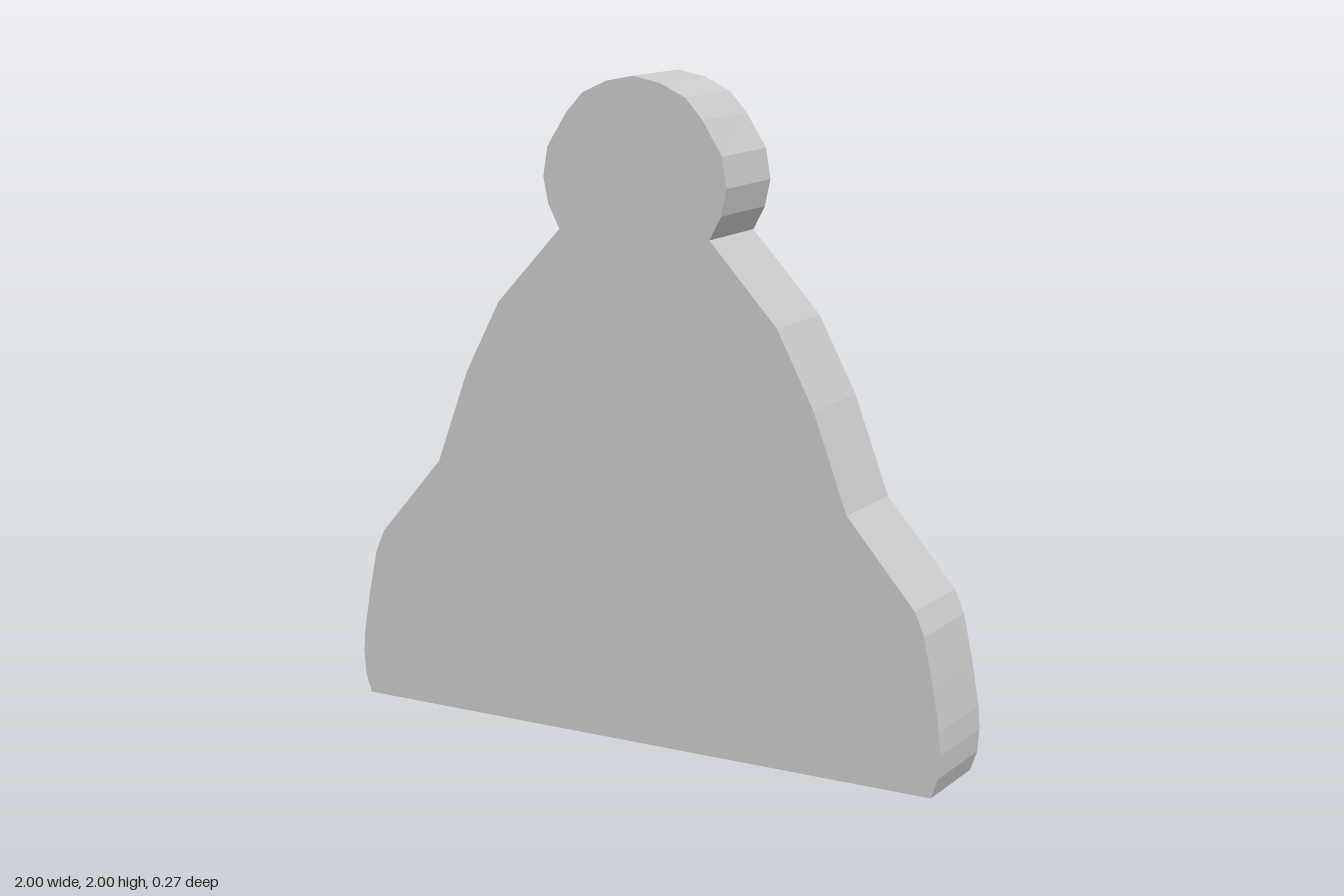
import * as THREE from 'three';

// Right half of the silhouette, from the foot up to the crown
const HALF = [
  [0.97, 0], [0.99, 0.06], [0.995, 0.13], [0.99, 0.2], [0.968, 0.33], [0.938, 0.47], [0.908, 0.54],
  [0.693, 0.79], [0.585, 1.08], [0.467, 1.305], [0.25, 1.54],
  [0.287, 1.61], [0.304, 1.69], [0.289, 1.78], [0.225, 1.88], [0.17, 1.94], [0.09, 1.977], [0, 1.995],
];
const DEPTH = 0.27;

export function createModel() {
  const group = new THREE.Group();
  group.name = 'figurePlaque';

  // Mirror the half profile into a closed outline
  const mirrored = HALF.slice(0, -1).reverse().map(([x, y]) => [-x, y]);
  const outline = [...HALF, ...mirrored].map(([x, y]) => new THREE.Vector2(x, y));

  const geometry = new THREE.ExtrudeGeometry(new THREE.Shape(outline), {
    depth: DEPTH, bevelEnabled: false, steps: 1,
  });
  geometry.translate(0, 0, -DEPTH / 2);

  // Slight draft: the back is a touch wider than the front
  const p = geometry.attributes.position;
  for (let i = 0; i < p.count; i++) {
    p.setX(i, p.getX(i) * (1 - 0.005 * Math.sign(p.getZ(i))));
  }
  geometry.computeVertexNormals();

  const body = new THREE.Mesh(
    geometry,
    new THREE.MeshStandardMaterial({ color: 0xcccccc, flatShading: true })
  );
  body.name = 'silhouetteSlab';
  group.add(body);
  return group;
}
